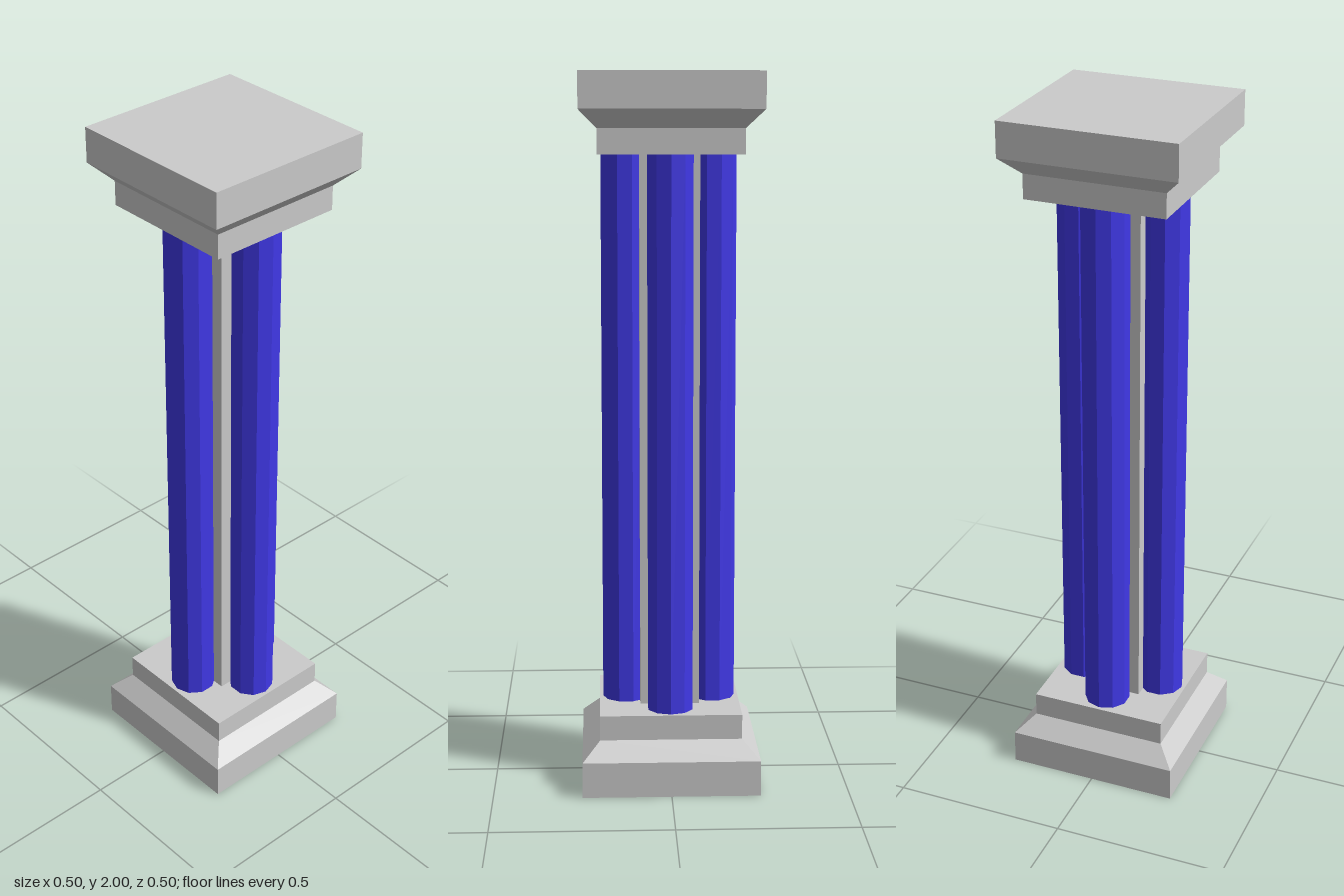
import * as THREE from 'three';

const stone = new THREE.MeshStandardMaterial({ color: 0xcccccc, flatShading: true });
const blue = new THREE.MeshStandardMaterial({ color: 0x4038e6, flatShading: true });

// Square block turned from a half-width / height profile (listed bottom to top)
function squareTurned(name, profile) {
  const points = profile.map(([half, y]) => new THREE.Vector2(half * Math.SQRT2, y));
  const geometry = new THREE.LatheGeometry(points, 4, Math.PI / 4);
  const mesh = new THREE.Mesh(geometry, stone);
  mesh.name = name;
  return mesh;
}

export function createModel() {
  const model = new THREE.Group();
  model.name = 'pillar';

  // Stepped base, and the same shape upside down as the capital
  const profile = [[0, 0], [0.25, 0], [0.25, 0.1], [0.2, 0.15], [0.2, 0.22], [0, 0.22]];
  const flipped = profile.map(([half, y]) => [half, 2 - y]).reverse();
  model.add(squareTurned('base', profile), squareTurned('capital', flipped));

  // Square core between the shafts
  const shaftHeight = 1.56;
  const core = new THREE.Mesh(new THREE.BoxGeometry(0.168, shaftHeight, 0.168), stone);
  core.name = 'core';
  core.position.y = 1;
  model.add(core);

  // Four ten-sided shafts, one on each side of the core, corner outward
  const shaftGeometry = new THREE.CylinderGeometry(0.066, 0.066, shaftHeight, 10);
  ['front', 'left', 'back', 'right'].forEach((side, i) => {
    const angle = i * Math.PI / 2;
    const shaft = new THREE.Mesh(shaftGeometry, blue);
    shaft.name = side + 'Shaft';
    shaft.position.set(0.124 * Math.sin(angle), 1, 0.124 * Math.cos(angle));
    shaft.rotation.y = angle;
    model.add(shaft);
  });

  return model;
}
